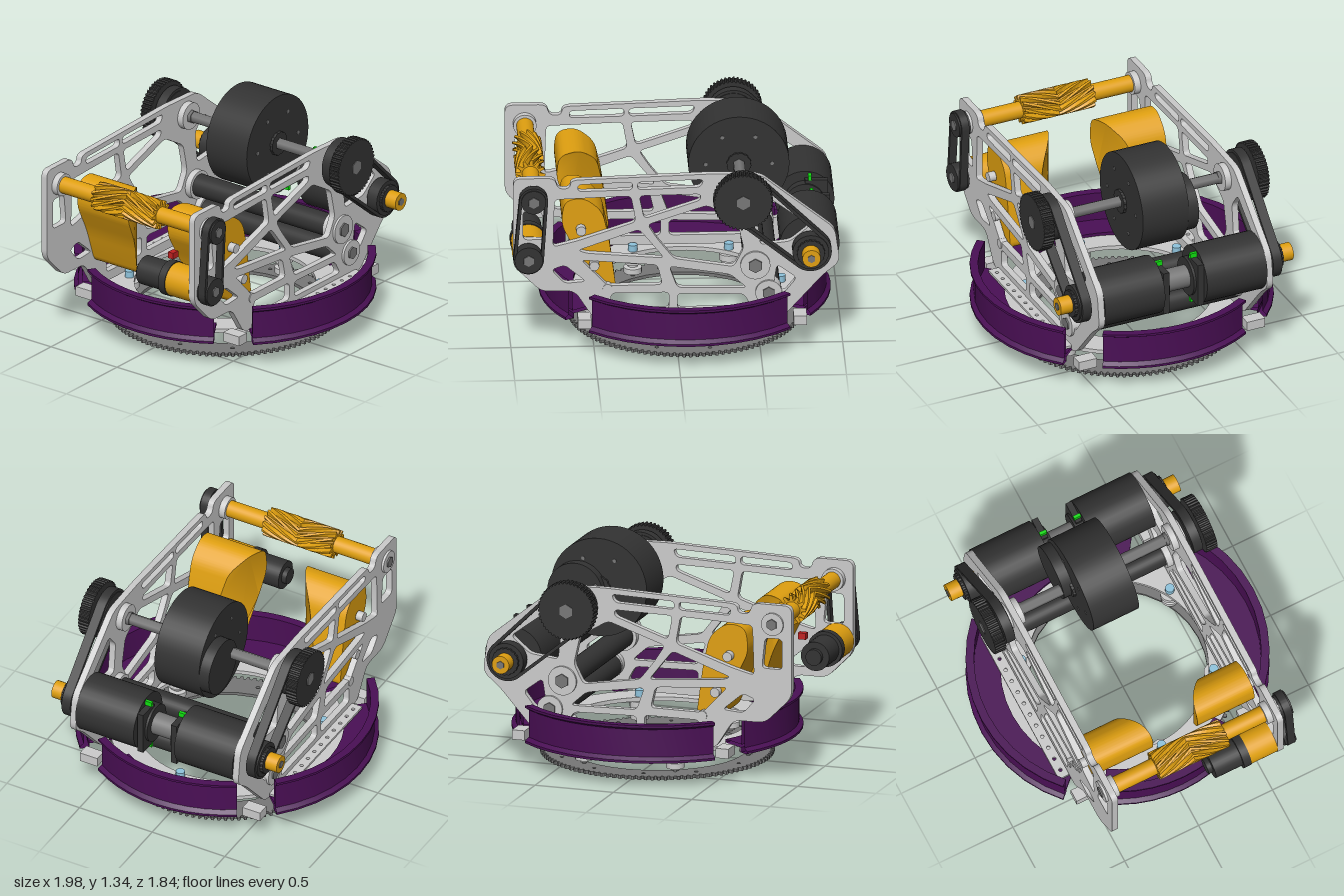
import * as THREE from 'three';
import { toCreasedNormals } from 'three/addons/utils/BufferGeometryUtils.js';

const mat = (color) => new THREE.MeshStandardMaterial({ color, side: THREE.DoubleSide });
const CX = 0.07; // centre of the turntable

export function createModel() {
  const root = new THREE.Group();
  const grey = mat(0xcccccc), steel = mat(0x777777), dark = mat(0x333333), gold = mat(0xe0a010);
  const purple = mat(0x4a0f55), blue = mat(0x8fc4dd), green = mat(0x10e010), red = mat(0xc02020);

  const add = (name, geo, material, x = 0, y = 0, z = 0) => {
    const m = new THREE.Mesh(geo, material);
    m.name = name;
    m.position.set(x, y, z);
    root.add(m);
    return m;
  };
  const box = (name, material, w, h, d, x, y, z) => add(name, new THREE.BoxGeometry(w, h, d), material, x, y, z);
  // cylinder along z between z0 and z1
  const rod = (name, material, r, z0, z1, x, y, sides = 32) =>
    add(name, new THREE.CylinderGeometry(r, r, Math.abs(z1 - z0), sides).rotateX(Math.PI / 2), material, x, y, (z0 + z1) / 2);
  const post = (name, material, r, y0, y1, x, z, sides = 24) =>
    add(name, new THREE.CylinderGeometry(r, r, y1 - y0, sides), material, x, (y0 + y1) / 2, z);
  // closed polygon with rounded corners
  const rounded = (pts, r, path = new THREE.Shape()) => {
    const v = pts.map((p) => new THREE.Vector2(...p));
    v.forEach((p, i) => {
      const prev = v[(i + v.length - 1) % v.length], next = v[(i + 1) % v.length];
      const cut = (q) => p.clone().lerp(q, Math.min(0.45, r / p.distanceTo(q)));
      const a = cut(prev), b = cut(next);
      i ? path.lineTo(a.x, a.y) : path.moveTo(a.x, a.y);
      path.quadraticCurveTo(p.x, p.y, b.x, b.y);
    });
    path.closePath();
    return path;
  };
  const circle = (r, x = 0, y = 0) => new THREE.Path().absarc(x, y, r, 0, Math.PI * 2);
  const gearShape = (r0, r1, teeth) => {
    const pts = [];
    for (let i = 0; i < teeth; i++)
      [[0, r0], [0.3, r0], [0.45, r1], [0.8, r1]].forEach(([f, r]) => {
        const a = ((i + f) / teeth) * Math.PI * 2;
        pts.push(new THREE.Vector2(Math.cos(a) * r, Math.sin(a) * r));
      });
    return new THREE.Shape(pts);
  };
  const extrude = (shape, depth, steps = 1) =>
    new THREE.ExtrudeGeometry(shape, { depth, steps, bevelEnabled: false, curveSegments: 16 });
  // belt loop around two pulleys
  const belt = (x0, y0, r0, x1, y1, r1, z, width) => {
    const loop = (t, path) => {
      const a = Math.atan2(y1 - y0, x1 - x0), d = Math.acos((r0 - r1) / Math.hypot(x1 - x0, y1 - y0));
      path.absarc(x0, y0, r0 + t, a + d, a - d + Math.PI * 2, false);
      path.absarc(x1, y1, r1 + t, a - d, a + d, false);
      path.closePath();
      return path;
    };
    const s = loop(0.012, new THREE.Shape());
    s.holes.push(loop(-0.008, new THREE.Path()));
    add('belt', toCreasedNormals(extrude(s, width), 0.6), dark, 0, 0, z - width / 2);
  };

  // Base ring gear and rotating ring plate
  const ringGear = gearShape(0.685, 0.707, 110);
  ringGear.holes.push(circle(0.545));
  for (let i = 0; i < 12; i++) ringGear.holes.push(circle(0.012, Math.cos(i * 0.524 + 0.2) * 0.62, Math.sin(i * 0.524 + 0.2) * 0.62));
  add('ringGear', extrude(ringGear, 0.02).rotateX(-Math.PI / 2), steel, CX, 0.005, 0);
  const ring = new THREE.Shape().absarc(0, 0, 0.71, 0, Math.PI * 2);
  ring.holes.push(circle(0.547));
  add('turntablePlate', toCreasedNormals(new THREE.ExtrudeGeometry(ring, { depth: 0.025, bevelEnabled: false, curveSegments: 48 }), 0.5)
    .rotateX(-Math.PI / 2), grey, CX, 0.165, 0);

  // Six guide rollers under the plate
  for (let i = 0; i < 6; i++) {
    const x = CX + 0.58 * Math.cos((i * Math.PI) / 3), z = 0.58 * Math.sin((i * Math.PI) / 3);
    const prof = [[0, 0.035], [0.025, 0.035], [0.03, 0.05], [0.055, 0.05], [0.055, 0.085], [0.03, 0.09], [0.03, 0.1],
      [0.045, 0.105], [0.045, 0.12], [0.06, 0.125], [0.06, 0.165], [0, 0.165]].map((p) => new THREE.Vector2(...p));
    add('guideRoller', toCreasedNormals(new THREE.LatheGeometry(prof, 24), 0.5), grey, x, 0, z);
    post('rollerPin', steel, 0.012, 0.0, 0.2, x, z, 12);
    post('rollerBolt', blue, 0.028, 0.19, 0.23, x, z, 16);
  }

  // Four channel-section bumper arcs
  const channel = [[0.88, 0.165], [0.88, 0.18], [0.855, 0.2], [0.855, 0.37], [0.88, 0.385], [0.88, 0.4], [0.83, 0.4], [0.83, 0.215],
    [0.67, 0.215], [0.67, 0.195], [0.82, 0.195], [0.82, 0.165], [0.88, 0.165]].map((p) => new THREE.Vector2(...p));
  [[0, 0.76, 0.04], [Math.PI / 2, 0.575, 0], [Math.PI, 0.76, -0.04], [-Math.PI / 2, 0.575, 0]].forEach(([mid, half, dz]) => {
    add('bumperArc', toCreasedNormals(new THREE.LatheGeometry(channel, 10, mid - half, half * 2), 0.5), purple, CX, 0, dz);
  });

  // Truss side plate: outline with lightening holes
  const side = rounded([[-0.99, 0.57], [-0.99, 1.14], [-0.74, 1.14], [-0.72, 1.07], [-0.65, 1.07], [-0.64, 1.125], [0.2, 1.15],
    [0.5, 1.14], [0.95, 0.78], [0.98, 0.56], [0.88, 0.48], [0.64, 0.21], [-0.5, 0.21], [-0.62, 0.4], [-0.82, 0.4]], 0.05);
  const cutouts = [
    [[-0.6, 1.05], [-0.27, 1.055], [-0.27, 1.105], [-0.6, 1.095]],
    [[-0.24, 1.055], [0.14, 1.065], [0.16, 1.115], [-0.24, 1.105]],
    [[-0.93, 0.93], [-0.82, 0.93], [-0.8, 0.74], [-0.93, 0.74]],
    [[-0.74, 1.0], [-0.28, 1.015], [-0.25, 0.845], [-0.61, 0.725], [-0.75, 0.69]],
    [[-0.23, 1.015], [0.14, 1.02], [0.14, 0.98], [-0.2, 0.865]],
    [[-0.6, 0.665], [-0.23, 0.795], [-0.17, 0.72], [-0.08, 0.605], [-0.55, 0.645]],
    [[-0.18, 0.825], [0.18, 0.945], [0.36, 0.84], [0.4, 0.66], [0.34, 0.54], [-0.02, 0.6], [-0.12, 0.73]],
    [[0.48, 0.88], [0.56, 0.98], [0.8, 0.8], [0.68, 0.7], [0.5, 0.68]],
    [[-0.76, 0.54], [-0.68, 0.57], [-0.55, 0.46], [-0.68, 0.45]],
    [[-0.58, 0.6], [-0.12, 0.56], [-0.09, 0.43], [-0.42, 0.43]],
    [[-0.05, 0.55], [0.32, 0.49], [0.42, 0.4], [0, 0.41]],
    [[0.6, 0.55], [0.72, 0.46], [0.64, 0.36], [0.58, 0.42]],
    [[-0.4, 0.38], [-0.05, 0.38], [-0.05, 0.27], [-0.4, 0.27]],
    [[0.0, 0.37], [0.4, 0.36], [0.45, 0.27], [0.0, 0.27]],
  ];
  cutouts.forEach((c) => side.holes.push(rounded(c, 0.03, new THREE.Path())));
  const sideGeo = toCreasedNormals(extrude(side, 0.04), 0.5);

  // Perforated mounting rail
  const rail = rounded([[-0.43, -0.035], [0.6, -0.035], [0.6, 0.035], [-0.43, 0.035]], 0.005);
  for (let x = -0.38; x < 0.58; x += 0.08) rail.holes.push(circle(0.011, x, 0));
  const railGeo = extrude(rail, 0.015).rotateX(-Math.PI / 2);

  // Curved guide: side profile whose inner face sweeps toward the middle
  const guide = rounded([[-0.7, 0.82], [-0.68, 0.97], [-0.56, 0.99], [-0.45, 0.9], [-0.41, 0.72], [-0.365, 0.38], [-0.52, 0.38], [-0.6, 0.62]], 0.06);
  const guideGeo = extrude(guide, 1, 2);
  const gp = guideGeo.attributes.position;
  for (let i = 0; i < gp.count; i++) {
    const t = THREE.MathUtils.clamp((gp.getX(i) + 0.7) / 0.34, 0, 1);
    gp.setZ(i, THREE.MathUtils.lerp(0.15 + 0.23 * t * t, 0.535, gp.getZ(i)));
  }
  guideGeo.computeVertexNormals();
  const guideSmooth = toCreasedNormals(guideGeo, 0.6);

  const toothed = (name, r, teeth, width, x, y, z) => add(name, extrude(gearShape(r * 0.95, r, teeth), width), dark, x, y, z - width / 2);

  for (const s of [1, -1]) {
    add('sidePlate', sideGeo, grey, 0, 0, s * 0.56 - 0.02);
    add('mountingRail', railGeo, grey, 0, 0.225, s * 0.618);
    for (const x of [-0.56, 0.74]) box('cornerBracket', grey, 0.08, 0.06, 0.12, x, 0.195, s * 0.56);
    add('curvedGuide', guideSmooth, gold).scale.z = s;

    // Bearings and bosses on the plate
    [[0.39, 1.03, 0.085], [0.47, 0.55, 0.09], [0.55, 0.37, 0.08], [-0.87, 1.02, 0.07]].forEach(([x, y, r]) => {
      rod('bearingHub', grey, r, s * 0.5, s * 0.595, x, y);
      rod('bearingCap', steel, r * 0.5, s * 0.48, s * 0.605, x, y, 6);
    });
    [[-0.58, 0.79], [-0.5, 0.56], [-0.42, 0.41]].forEach(([x, y]) => rod('boss', grey, 0.03, s * 0.54, s * 0.585, x, y, 16));

    // Flywheel drive: pulleys, belt, gold output hub
    toothed('flywheelPulley', 0.18, 44, 0.07, 0.39, 1.03, s * 0.715);
    rod('pulleyHub', steel, 0.045, s * 0.6, s * 0.755, 0.39, 1.03, 6);
    rod('beltPulley', dark, 0.135, s * 0.6, s * 0.67, 0.39, 1.03);
    rod('motorPulley', dark, 0.11, s * 0.6, s * 0.675, 0.8, 0.665);
    belt(0.39, 1.03, 0.14, 0.8, 0.665, 0.115, s * 0.635, 0.06);
    toothed('motorGear', 0.085, 18, 0.02, 0.8, 0.665, s * 0.685);
    rod('outputHub', gold, 0.055, s * 0.58, s * 0.775, 0.8, 0.665);
    rod('outputBolt', steel, 0.025, s * 0.77, s * 0.78, 0.8, 0.665, 6);

    // Drive motor with end disc and green tabs
    rod('driveMotor', dark, 0.18, s * 0.14, s * 0.54, 0.8, 0.665);
    rod('motorNeck', dark, 0.12, s * 0.14, s * 0.08, 0.8, 0.665);
    box('controllerBoard', dark, 0.14, 0.28, 0.04, 0.87, 0.665, s * 0.115);
    for (const y of [0.82, 0.515]) box('greenTab', green, 0.02, 0.03, 0.045, 0.83, y, s * 0.115);
  }
  rod('motorCoupling', steel, 0.07, -0.1, 0.1, 0.8, 0.665);

  // Flywheel and cross shafts
  rod('flywheelShaft', steel, 0.038, -0.68, 0.68, 0.39, 1.03, 6);
  rod('flywheel', dark, 0.305, -0.153, 0.153, 0.39, 1.03, 48);
  rod('flywheelSideDisc', dark, 0.175, -0.22, -0.15, 0.52, 1.01, 40);
  for (const s of [1, -1]) {
    toothed('flywheelHub', 0.075, 12, 0.02, 0.39, 1.03, s * 0.16);
    for (let i = 0; i < 6; i++)
      rod('flywheelBolt', steel, 0.012, s * 0.15, s * 0.157, 0.39 + 0.2 * Math.cos(i * 1.047), 1.03 + 0.2 * Math.sin(i * 1.047), 8);
  }
  rod('upperFeedRoller', dark, 0.07, -0.5, 0.5, 0.47, 0.55);
  rod('lowerFeedRoller', dark, 0.075, -0.52, 0.52, 0.55, 0.36);

  // Intake tube with herringbone roller
  rod('intakeTube', gold, 0.052, -0.535, 0.535, -0.87, 1.02);
  const herringbone = extrude(gearShape(0.062, 0.09, 12), 0.47, 16).translate(0, 0, -0.235);
  const hp = herringbone.attributes.position, v = new THREE.Vector3(), axis = new THREE.Vector3(0, 0, 1);
  for (let i = 0; i < hp.count; i++) {
    v.fromBufferAttribute(hp, i);
    v.applyAxisAngle(axis, 5 * Math.abs(v.z));
    hp.setXYZ(i, v.x, v.y, v.z);
  }
  herringbone.computeVertexNormals();
  add('herringboneRoller', herringbone, gold, -0.87, 1.02, 0);

  // Intake motor and its belt on the front side
  rod('intakeGearbox', gold, 0.105, 0.36, 0.54, -0.89, 0.64);
  rod('intakeMotorFlange', dark, 0.11, 0.31, 0.36, -0.89, 0.64);
  rod('intakeMotor', dark, 0.09, 0.13, 0.31, -0.89, 0.64);
  rod('intakeMotorTip', dark, 0.05, 0.1, 0.13, -0.89, 0.64);
  box('motorTerminal', red, 0.05, 0.04, 0.04, -0.77, 0.73, 0.25);
  rod('intakePulleyTop', dark, 0.075, 0.595, 0.67, -0.87, 1.02);
  rod('intakePulleyBottom', dark, 0.085, 0.595, 0.67, -0.9, 0.64);
  for (const [x, y] of [[-0.87, 1.02], [-0.9, 0.64]]) rod('intakePulleyHub', steel, 0.035, 0.58, 0.678, x, y, 6);
  belt(-0.87, 1.02, 0.075, -0.9, 0.64, 0.08, 0.635, 0.05);
  return root;
}
